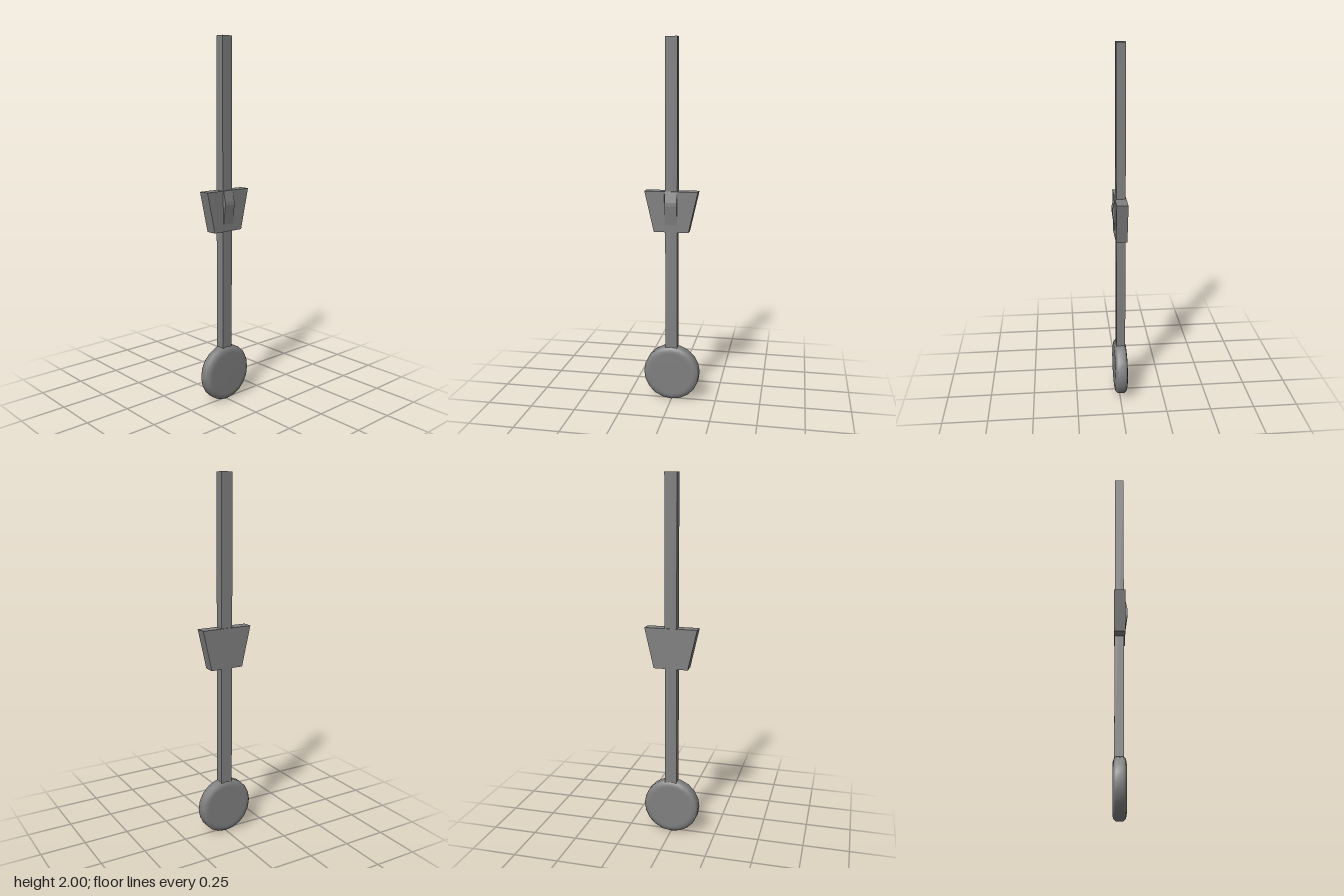
import * as THREE from 'three';

const grey = new THREE.MeshStandardMaterial({ color: 0x808080 });
grey.name = 'grey metal';

const polygon = (points) => new THREE.Shape(points.map(([x, y]) => new THREE.Vector2(x, y)));

function extrude(shape, depth) {
  return new THREE.ExtrudeGeometry(shape, { depth, bevelEnabled: false });
}

export function createModel() {
  const model = new THREE.Group();
  model.name = 'pendulum';
  const add = (name, geometry, x = 0, y = 0, z = 0) => {
    const mesh = new THREE.Mesh(geometry, grey);
    mesh.name = name;
    mesh.position.set(x, y, z);
    model.add(mesh);
    return mesh;
  };

  // Flat rod, running down into the bob
  add('rod', new THREE.BoxGeometry(0.066, 1.71, 0.05), 0, 1.145, -0.008);

  // Round bob with softly rounded rim
  const profile = [
    [0, -0.035], [0.118, -0.035], [0.13, -0.0345], [0.147, -0.03], [0.157, -0.018],
    [0.157, 0.018], [0.147, 0.03], [0.13, 0.0345], [0.118, 0.035], [0, 0.035],
  ].map(([r, h]) => new THREE.Vector2(r, h));
  const bob = new THREE.LatheGeometry(profile, 20);
  bob.rotateX(Math.PI / 2);
  add('bob', bob, 0, 0.157, -0.0055);

  // Sliding weight: tapered body and a front plate slit on both sides of the spring
  const outline = [[-0.095, 0.97], [0.095, 0.97], [0.146, 1.193], [-0.146, 1.193]];
  add('weightBody', extrude(polygon(outline), 0.054), 0, 0, -0.037);
  const plate = polygon(outline);
  for (const side of [-1, 1]) {
    plate.holes.push(polygon([[side * 0.033, 1.015], [side * 0.038, 1.18], [side * 0.033, 1.18]]));
  }
  add('weightFront', extrude(plate, 0.007), 0, 0, 0.017);

  // Bent spring clip bulging out of the weight's front
  const clip = extrude(polygon([
    [-0.018, 1.01], [-0.018, 1.193], [-0.024, 1.193], [-0.037, 1.135], [-0.038, 1.115], [-0.024, 1.01],
  ]), 0.066);
  clip.rotateY(Math.PI / 2);
  add('springClip', clip, -0.033, 0, 0);

  return model;
}
